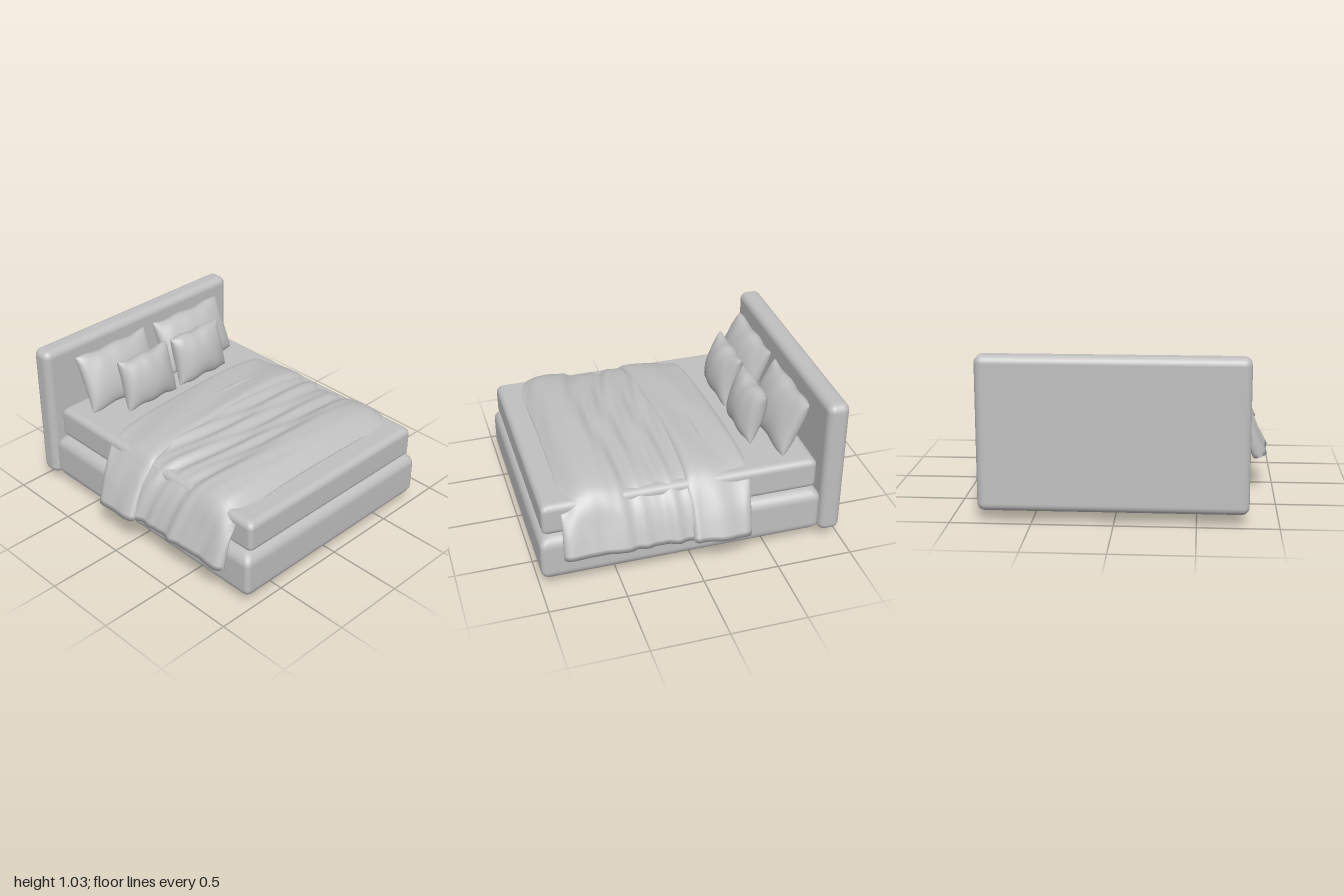
import * as THREE from 'three';
import { mergeVertices } from 'three/addons/utils/BufferGeometryUtils.js';
import { RoundedBoxGeometry } from 'three/addons/geometries/RoundedBoxGeometry.js';

const fabric = new THREE.MeshStandardMaterial({ color: 0xbfbfbf });
fabric.name = 'grey fabric';

function part(name, geometry, x = 0, y = 0, z = 0) {
  const mesh = new THREE.Mesh(geometry, fabric);
  mesh.name = name;
  mesh.position.set(x, y, z);
  return mesh;
}

// Skin over closed rings of [x, y, z] points (all the same length)
function loft(rings) {
  const n = rings[0].length, index = [];
  for (let j = 0; j < rings.length - 1; j++) {
    for (let i = 0; i < n; i++) {
      const k = (i + 1) % n, a = j * n + i, b = j * n + k, c = a + n, d = b + n;
      index.push(a, b, c, b, d, c);
    }
  }
  const geo = new THREE.BufferGeometry();
  geo.setAttribute('position', new THREE.Float32BufferAttribute(rings.flat(2), 3));
  geo.setIndex(index);
  geo.computeVertexNormals();
  return geo;
}

// Upholstered block: soft top and bottom edges, tighter upright corners
function slab(w, h, d, soft, corner) {
  const rings = [];
  const ring = (inset, y) => {
    const pts = [], r = corner;
    const hw = w / 2 - inset - r, hd = d / 2 - inset - r;
    for (let q = 0; q < 4; q++) {
      const sx = q === 0 || q === 3 ? 1 : -1, sz = q < 2 ? 1 : -1;
      for (let i = 0; i <= 6; i++) {
        const a = (q + i / 6) * Math.PI / 2;
        pts.push([sx * hw + r * Math.cos(a), y, -(sz * hd + r * Math.sin(a))]);
      }
    }
    return pts;
  };
  for (const s of [-1, 1]) {
    for (let i = 0; i <= 8; i++) {
      const a = (s < 0 ? i / 8 - 1 : i / 8) * Math.PI / 2;
      rings.push(ring(soft * (1 - Math.cos(a)), s * (h / 2 - soft) + soft * Math.sin(a)));
    }
  }
  const flat = (r) => r.map(([, y]) => [0, y, 0]);
  return loft([flat(rings[0]), ...rings, flat(rings[rings.length - 1])]);
}

// Half outline (centre to hem) mirrored to run from the +x hem to the -x hem
function arch(points, count = 36) {
  const half = new THREE.SplineCurve(points.map((p) => new THREE.Vector2(...p))).getSpacedPoints(count);
  const left = half.slice(1).map((p) => [-p.x, p.y]);
  return [...half.reverse().map((p) => [p.x, p.y]), ...left];
}

// Cloth lying over the mattress and hanging down both sides
function drape({ width, height, hem, back, front, wrinkle, lip = 0.05 }) {
  const rings = [], steps = 80;
  for (let j = 0; j <= steps; j++) {
    const v = (1 - Math.cos(Math.PI * j / steps)) / 2;
    const zc = THREE.MathUtils.lerp(back(0), front(0), v);
    const H = height(zc), low = hem(zc);
    const outer = arch([[0, H], [0.4, H - 0.012], [0.66, H - 0.045], [0.77, H - 0.12],
      [(0.77 + width) / 2 + 0.005, 0.43], [width, low + 0.02]]);
    const inner = arch([[0, 0.59], [0.4, 0.59], [0.7, 0.585], [0.755, 0.53],
      [0.79, 0.4], [width - 0.09, low]]);
    // Rounded closing edge at both ends
    const e = Math.min(1, Math.min(v, 1 - v) * (front(0) - back(0)) / lip);
    const f = Math.sqrt(1 - (1 - e) ** 2);
    const place = ([x, y], d) => {
      const u = x / width, side = THREE.MathUtils.smoothstep(Math.abs(x), 0.62, 0.82);
      const z = THREE.MathUtils.lerp(back(u), front(u), v);
      const r = d * wrinkle(x, z, side);
      return [x + Math.sign(x) * r * side, y + r * (1 - side), z];
    };
    const mix = (p, q, s) => {
      const keep = 0.5 + 0.5 * s * f;
      return [q[0] + (p[0] - q[0]) * keep, q[1] + (p[1] - q[1]) * keep];
    };
    rings.push([
      ...outer.map((p, i) => place(mix(p, inner[i], 1), f)),
      ...inner.map((p, i) => place(mix(outer[i], p, -1), 0)).reverse(),
    ]);
  }
  return loft(rings);
}

// Pillow: thick in the middle, pinched to thin seams, corners drawn out
function pillow(w, h, t, pinch, seed) {
  const geo = new THREE.BoxGeometry(2, 2, 2, 32, 28, 1);
  const p = geo.attributes.position;
  for (let i = 0; i < p.count; i++) {
    const u = Math.sin(p.getX(i) * Math.PI / 2), v = Math.sin(p.getY(i) * Math.PI / 2);
    const body = Math.max(0, (1 - u * u) * (1 - v * v));
    const crease = 1 + 0.07 * Math.sin(9 * u + 5 * v * u + seed) * (u * u + v * v) / 2;
    p.setXYZ(i,
      w / 2 * u * (1 - pinch * (1 - v * v)),
      h / 2 * v * (1 - pinch * (1 - u * u)) + 0.006 * Math.sin(7 * u + seed) * v,
      Math.sign(p.getZ(i)) * t / 2 * body ** 0.42 * crease);
  }
  geo.deleteAttribute('normal');
  geo.deleteAttribute('uv');
  const smooth = mergeVertices(geo, 1e-5);
  smooth.computeVertexNormals();
  return smooth;
}

export function createModel() {
  const bed = new THREE.Group();
  bed.name = 'bed';

  // Frame
  bed.add(part('base', slab(1.59, 0.325, 1.85, 0.075, 0.035), 0.003, 0.223, 0.067));
  bed.add(part('headboard', new RoundedBoxGeometry(1.65, 0.96, 0.145, 6, 0.05), 0.007, 0.55, -0.922));
  for (const x of [-0.415, 0.43]) {
    for (const z of [0.63, -0.51]) {
      bed.add(part('foot', new THREE.BoxGeometry(0.3, 0.075, 0.3), x, 0.0375, z));
    }
  }

  // Mattress
  bed.add(part('mattress', slab(1.5, 0.22, 1.8, 0.045, 0.03), 0.005, 0.492, 0.067));

  // Duvet, with a hump near the foot end and long cross folds
  bed.add(part('duvet', drape({
    width: 0.91,
    height: (z) => 0.664 + 0.042 * Math.exp(-(((z - 0.6) / 0.14) ** 2))
      - 0.035 * THREE.MathUtils.smoothstep(z, 0.7, 0.83),
    hem: (z) => 0.25 + 0.02 * z,
    back: () => -0.2,
    front: (u) => 0.82 + 0.05 * u ** 4,
    lip: 0.07,
    wrinkle: (x, z, side) => {
      const q = z + 0.13 * x * x - 0.06 * x;
      const calm = 1 - THREE.MathUtils.smoothstep(z, 0.42, 0.62);
      const folds = 0.008 * Math.sin(36 * q + 2 * Math.sin(3 * x)) + 0.005 * Math.sin(61 * q - 4 * x);
      return folds * (calm * (1 - 0.4 * side) + 0.2) + 0.006 * side * Math.sin(17 * z);
    },
  })));

  // Turned-back top of the duvet, skewed a little to one side
  bed.add(part('duvetFold', drape({
    width: 0.955,
    height: (z) => 0.687 - 0.1 * Math.max(0, -z - 0.02) - 0.008 * Math.max(0, z),
    hem: (z) => 0.25 + 0.06 * z,
    back: (u) => -0.375 - 0.035 * u + (u < 0 ? 0.12 : 0.08) * u ** 4,
    front: (u) => 0.045 - 0.03 * u * (1 - u * u) + (u < 0 ? 0.08 : 0) * u ** 4,
    wrinkle: (x, z, side) => 0.005 * Math.sin(19 * z + 5 * x) + 0.004 * side * Math.sin(30 * z),
  })));

  // Pillows: a large one behind a small one on each side
  for (const [i, side] of [-1, 1].entries()) {
    const large = part('largePillow', pillow(0.6, 0.39, 0.19, 0.03, 1 + i * 2), side * 0.34 + 0.015, 0.78, -0.71);
    large.rotation.x = -0.42;
    const small = part('smallPillow', pillow(0.43, 0.35, 0.19, 0.06, 2 + i * 3), side * 0.235 + 0.007, 0.765, -0.53);
    small.rotation.x = -0.28;
    bed.add(large, small);
  }
  return bed;
}
